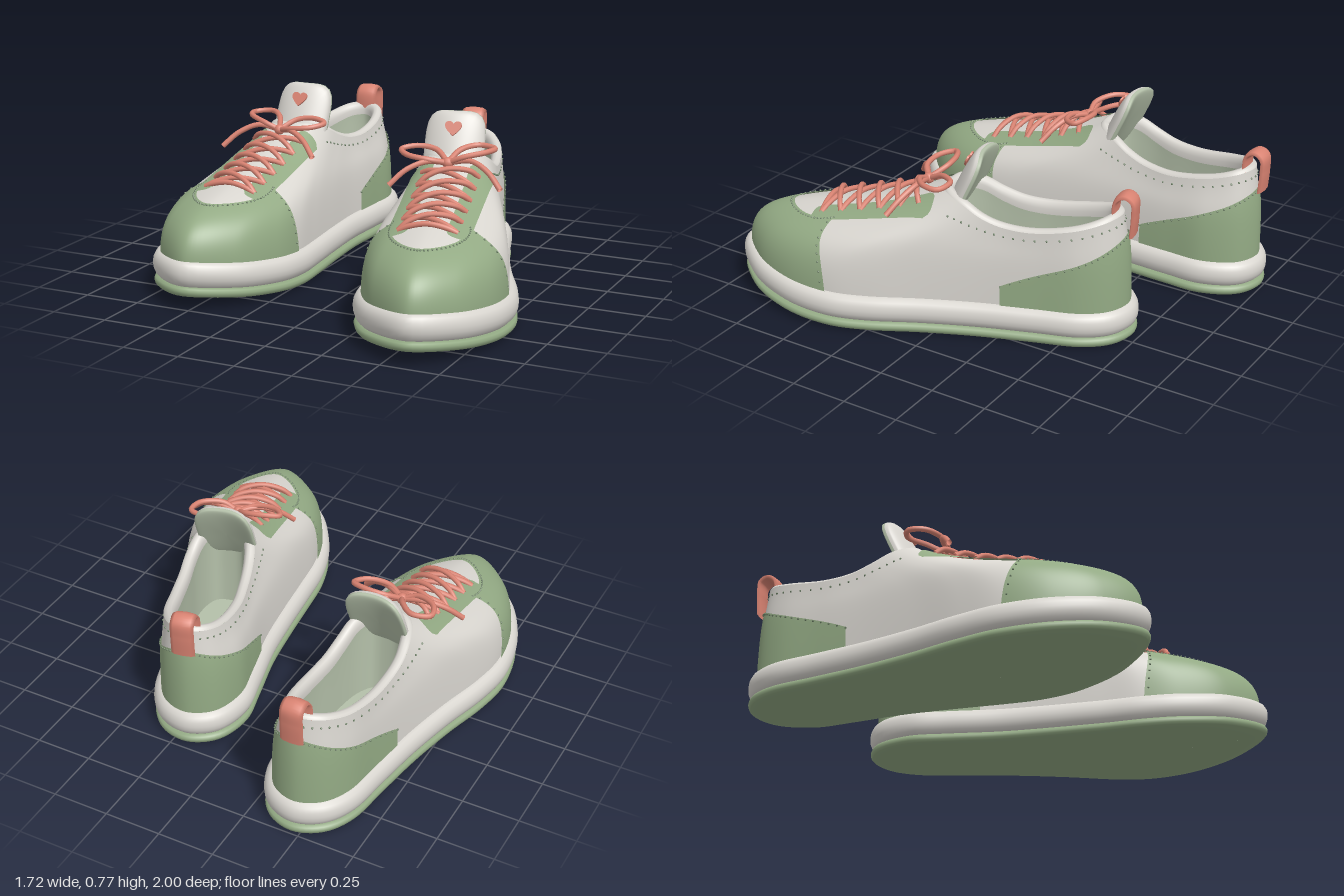
import * as THREE from 'three';
import { mergeGeometries, mergeVertices } from 'three/addons/utils/BufferGeometryUtils.js';

const V = (x, y, z) => new THREE.Vector3(x, y, z);
const { lerp, smoothstep, clamp } = THREE.MathUtils;
const mat = (name, color) => Object.assign(new THREE.MeshStandardMaterial({ color, side: THREE.DoubleSide }), { name });

// Stations from heel round the outer side, toe and inner side:
// sole x, sole z, opening x, opening z, opening height
const STATIONS = [
  [-.067, -.885, -.065, -.82, .56], [.06, -.83, .03, -.775, .55], [.135, -.70, .09, -.66, .52],
  [.165, -.5, .115, -.5, .495], [.20, -.27, .125, -.37, .50], [.25, -.04, .13, -.27, .53],
  [.31, .18, .12, -.19, .57], [.335, .37, .10, -.13, .59], [.295, .58, .07, -.09, .60],
  [.18, .77, .03, -.07, .60], [-.01, .885, -.02, -.065, .60], [-.2, .74, -.07, -.07, .60],
  [-.295, .54, -.11, -.09, .60], [-.32, .36, -.14, -.13, .59], [-.305, .17, -.165, -.19, .57],
  [-.285, -.04, -.18, -.27, .53], [-.27, -.27, -.19, -.37, .50], [-.277, -.5, -.2, -.5, .495],
  [-.275, -.68, -.19, -.66, .52], [-.2, -.83, -.15, -.775, .55],
];
const N = STATIONS.length;
const soleCurve = new THREE.CatmullRomCurve3(STATIONS.map(s => V(s[0], 0, s[1])), true, 'catmullrom');
const openCurve = new THREE.CatmullRomCurve3(STATIONS.map(s => V(s[2], s[4], s[3])), true, 'catmullrom');
const at = (curve, u) => curve.getPoint((((u % N) + N) % N) / N);
const spring = z => .06 * Math.max(0, (z - .15) / .735) ** 2;

// Point on a closed curve, pushed outwards by off
function ring(curve, u, off) {
  const p = at(curve, u), a = at(curve, u - .02), b = at(curve, u + .02);
  const tx = b.x - a.x, tz = b.z - a.z, l = Math.hypot(tx, tz);
  return V(p.x + tz / l * off, p.y, p.z - tx / l * off);
}

// Smooth sheet from a rule f(s, t), with s and t in 0..1
function sheet(f, ns, nt) {
  const pos = [], idx = [];
  for (let j = 0; j <= nt; j++) for (let i = 0; i <= ns; i++) pos.push(...f(i / ns, j / nt).toArray());
  for (let j = 0; j < nt; j++) for (let i = 0; i < ns; i++) {
    const a = j * (ns + 1) + i, b = a + ns + 1;
    idx.push(a, b, a + 1, b, b + 1, a + 1);
  }
  const g = new THREE.BufferGeometry();
  g.setAttribute('position', new THREE.Float32BufferAttribute(pos, 3));
  g.setIndex(idx);
  const m = mergeVertices(g, 1e-5);
  m.computeVertexNormals();
  return m;
}
const loft = (rows, f) => sheet((s, t) => f(s * N, rows[Math.round(t * (rows.length - 1))]), 120, rows.length - 1);

// Upper: from the sole edge (v = 0) to the collar (v = 1)
function upper(u, v) {
  const b = ring(soleCurve, u, -.035), o = at(openCurve, u);
  b.y = .14 + spring(b.z);
  const k = smoothstep(Math.hypot(b.x - o.x, b.z - o.z), .1, .7);
  const p1 = V(b.x, b.y + .28, b.z), p2 = b.clone().lerp(o, lerp(.5, .415, k));
  p2.y = lerp(o.y - .13, .36, k);
  return new THREE.CubicBezierCurve3(b, p1, p2, o).getPoint(v);
}
function raised(u, v, h) {
  const e = .01, v0 = Math.max(0, v - e), v1 = Math.min(1, v + e);
  const du = upper(u + e, v).sub(upper(u - e, v)), dv = upper(u, v1).sub(upper(u, v0));
  return upper(u, v).addScaledVector(dv.cross(du).normalize(), h);
}

// Find the point of the upper above a plan position
const samples = [];
for (let u = 6; u <= 14; u += .25) for (let v = .3; v <= 1; v += .05) samples.push([u, v, upper(u, v)]);
function above(x, z, h) {
  const dist = s => (s[2].x - x) ** 2 + (s[2].z - z) ** 2;
  let [u, v] = samples.reduce((a, b) => dist(b) < dist(a) ? b : a);
  for (let i = 0; i < 5; i++) {
    const p = upper(u, v), a = upper(u + .01, v).sub(p), b = upper(u, v - .01).sub(p);
    const det = a.x * b.z - a.z * b.x, ex = x - p.x, ez = z - p.z;
    if (Math.abs(det) < 1e-10) break;
    u += clamp((ex * b.z - ez * b.x) / det, -20, 20) * .01;
    v -= clamp((a.x * ez - a.z * ex) / det, -10, 10) * .01;
    v = clamp(v, .1, .99);
  }
  return raised(u, v, h);
}

const cord = (pts, r = .0115) => new THREE.TubeGeometry(new THREE.CatmullRomCurve3(pts), pts.length * 6, r, 8);

// Toe cap and heel counter as regions of the upper, s in -1..1
const toeCap = (s, t, h) => {
  const v = t * (.45 + .17 * s * s);
  return raised(10 + s * (3 - .33 * v - 3.9 * v * v), v, h);
};
const heelCounter = (s, t, h) => raised(s * 3.6, t * (.72 - .57 * Math.abs(s) ** 1.3), h);

function shoeParts() {
  const parts = [];
  const add = (name, material, geo) => parts.push([name, material, geo]);

  // Sole
  const soleRow = (u, [off, y]) => { const p = ring(soleCurve, u, off); p.y = y + spring(p.z); return p; };
  add('outsole', 'green', loft([null, [-.06, 0], [-.012, .005], [-.003, .014], [0, .026], [-.005, .038], [-.02, .045], [-.06, .047]],
    (u, r) => {
      if (r) return soleRow(u, r);
      const p = at(soleCurve, u);
      return V(-.02, spring(p.z * .85), p.z * .85);
    }));
  add('midsole', 'white', loft([[-.06, .044], [-.02, .046], [-.006, .06], [.002, .08], [.004, .1], [.001, .122], [-.008, .14], [-.022, .152], [-.04, .156], [-.07, .155]], soleRow));

  // Upper, rolled collar and lining
  add('upper', 'white', sheet((s, t) => upper(s * N, t), 140, 36));
  const collarRow = (u, [off, dy, y]) => { const p = ring(openCurve, u, off); p.y = y ?? p.y + dy; return p; };
  add('collar', 'white', loft([[0, 0], [-.006, .009], [-.018, .014], [-.032, .011], [-.042, 0], [-.047, -.02], [-.046, -.045]], collarRow));
  add('lining', 'lining', loft([[-.046, -.043], [-.044, -.1], [-.044, 0, .3], [-.044, 0, .2]], collarRow));
  add('insole', 'lining', sheet((s, t) => {
    const a = collarRow(s * 10, [-.042, 0, .2]), b = collarRow(N - s * 10, [-.042, 0, .2]);
    return a.lerp(b, t);
  }, 40, 4));

  // Coloured overlays
  add('toeCap', 'green', sheet((s, t) => toeCap(s * 2 - 1, t, .006), 60, 24));
  add('heelCounter', 'green', sheet((s, t) => heelCounter(s * 2 - 1, t, .006), 60, 16));
  for (const side of [1, -1]) add('eyestay', 'green', sheet((s, t) => {
    const round = .03 * (2 * s - 1) ** 4;
    return above(-.01 + side * .1225 + (s - .5) * .095, lerp(-.055 + round, .5 - round, t), .007);
  }, 8, 24));

  // Tongue with a heart
  const lean = y => -.13 - .47 * (y - .58);
  for (const [name, m, start] of [['tongue', 'white', 0], ['tongueBack', 'lining', Math.PI / 2]]) {
    const g = new THREE.SphereGeometry(1, 40, 14, 0, Math.PI * 2, start, Math.PI / 2).rotateX(Math.PI / 2);
    const p = g.attributes.position;
    for (let i = 0; i < p.count; i++) {
      const x = p.getX(i), y = p.getY(i), z = p.getZ(i);
      const k = Math.hypot(x, y) / ((x ** 4 + y ** 4) ** .25 || 1);
      const X = x * k * .13, Y = .6 + y * k * .17;
      p.setXYZ(i, X - .032, Y, lean(Y) + Math.sign(z) * Math.sqrt(Math.abs(z)) * .035 - 2.4 * X * X);
    }
    g.computeVertexNormals();
    add(name, m, g);
  }
  const heart = new THREE.Shape();
  heart.moveTo(0, -.032);
  heart.bezierCurveTo(.02, -.015, .036, 0, .036, .014);
  heart.bezierCurveTo(.036, .036, .006, .038, 0, .018);
  heart.bezierCurveTo(-.006, .038, -.036, .036, -.036, .014);
  heart.bezierCurveTo(-.036, 0, -.02, -.015, 0, -.032);
  add('heart', 'coral', new THREE.ExtrudeGeometry(heart, { depth: .008, bevelEnabled: false, curveSegments: 10 })
    .rotateX(-.44).translate(-.032, .705, lean(.705) + .033));

  // Criss-cross laces
  const laces = [], rows = 6, eyeX = .12, rowZ = i => lerp(.46, .01, i / (rows - 1));
  const strand = (x0, z0, x1, z1, lift) => cord([0, .15, .35, .5, .65, .85, 1].map(t =>
    above(lerp(x0, x1, t), lerp(z0, z1, t), .006 + lift * Math.sin(Math.PI * t) ** .6)));
  laces.push(strand(-.01 - eyeX, rowZ(0), -.01 + eyeX, rowZ(0), .012));
  for (let i = 0; i < rows - 1; i++) for (const d of [1, -1])
    laces.push(strand(-.01 - d * eyeX, rowZ(i), -.01 + d * eyeX, rowZ(i + 1), d > 0 ? .032 : .014));

  // Bow: two loops, two tails and a knot
  const knot = [-.02, .6, .02];
  for (const pts of [
    [knot, [.05, .63, .03], [.14, .645, -.02], [.16, .645, -.09], [.09, .65, -.12], [.02, .64, -.06], knot],
    [knot, [-.08, .64, -.04], [-.16, .65, -.05], [-.225, .64, -.02], [-.19, .63, .04], [-.1, .62, .06], knot],
    [knot, [.08, .615, .03], [.16, .58, .07], [.22, .52, .115]],
    [knot, [-.1, .61, .06], [-.18, .58, .1], [-.245, .52, .14]],
  ]) laces.push(cord(pts.map(p => V(...p)), .012));
  laces.push(new THREE.SphereGeometry(.024, 12, 8).translate(...knot));
  add('laces', 'coral', mergeGeometries(laces));

  // Heel pull tab: a flattened loop
  const tabPath = [[.47, -.862], [.56, -.868], [.625, -.864], [.645, -.83], [.62, -.793], [.53, -.785]].map(([y, z]) => V(0, y, z));
  add('pullTab', 'coral', cord(tabPath).scale(4.5, 1, 1).translate(-.066, 0, 0));

  // Stitch lines
  const dots = [], dot = p => dots.push(new THREE.IcosahedronGeometry(.005, 0).translate(p.x, p.y, p.z));
  for (let i = 0; i <= 40; i++) {
    const s = i / 20 - 1;
    dot(toeCap(s, .96, .007));
    dot(heelCounter(s, .95, .007));
    dot(raised(s * 6, .9, .001));
  }
  for (let i = 1; i < 9; i++) for (const s of [-.97, .97]) dot(toeCap(s, i / 9, .007));
  add('stitching', 'stitch', mergeGeometries(dots));
  return parts;
}

// Mirror a geometry in x and swap two corners of each face to keep it outward
function mirrored(geo) {
  const g = (geo.index ? geo.toNonIndexed() : geo.clone()).scale(-1, 1, 1);
  for (const { array, count, itemSize } of Object.values(g.attributes)) {
    for (let i = 0; i < count; i += 3) for (let c = 0; c < itemSize; c++) {
      const j = (i + 1) * itemSize + c, k = j + itemSize;
      [array[j], array[k]] = [array[k], array[j]];
    }
  }
  return g;
}

export function createModel() {
  const mats = {
    white: mat('warm white', 0xd9d6d0),
    green: mat('sage green', 0x93aa84),
    coral: mat('coral', 0xd98372),
    lining: mat('pale sage', 0xb4c0a9),
    stitch: mat('dark sage', 0x71846a),
  };
  const model = new THREE.Group();
  model.name = 'pairOfSneakers';
  const parts = shoeParts();
  for (const left of [true, false]) {
    const shoe = new THREE.Group();
    shoe.name = left ? 'leftShoe' : 'rightShoe';
    for (const [name, m, geo] of parts) {
      const mesh = new THREE.Mesh(left ? geo : mirrored(geo), mats[m]);
      mesh.name = name;
      shoe.add(mesh);
    }
    if (left) {
      shoe.position.set(.43, 0, .125);
      shoe.rotation.y = .205;
    } else shoe.position.set(-.53, 0, -.115);
    model.add(shoe);
  }
  return model;
}
